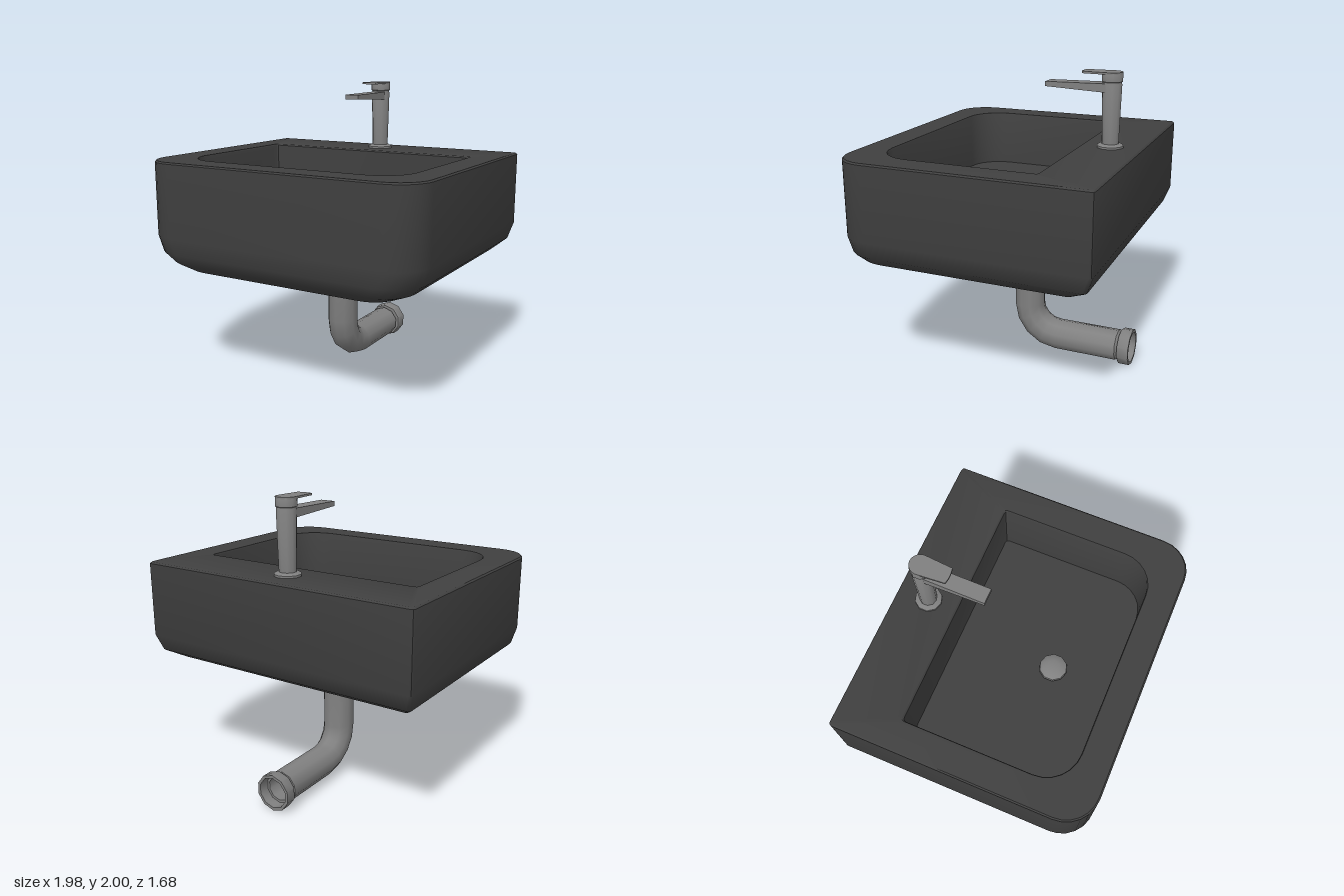
import * as THREE from 'three';
import { toCreasedNormals } from 'three/addons/utils/BufferGeometryUtils.js';

const SIDES = 10;
const CREASE = 0.76;

// Skin a stack of closed rings (counter-clockwise about the direction of travel).
function loft(rings, capStart, capEnd) {
  const n = rings[0].length;
  const pos = [], index = [];
  rings.forEach(ring => ring.forEach(p => pos.push(p.x, p.y, p.z)));
  for (let r = 0; r < rings.length - 1; r++) {
    for (let i = 0; i < n; i++) {
      const j = (i + 1) % n;
      const a = r * n + i, b = r * n + j, c = a + n, d = b + n;
      index.push(a, b, d, a, d, c);
    }
  }
  const cap = (r, flip) => {
    const mid = new THREE.Vector3();
    rings[r].forEach(p => mid.addScaledVector(p, 1 / n));
    const m = pos.length / 3;
    pos.push(mid.x, mid.y, mid.z);
    for (let i = 0; i < n; i++) {
      const a = r * n + i, b = r * n + (i + 1) % n;
      if (flip) index.push(m, b, a); else index.push(m, a, b);
    }
  };
  if (capStart) cap(0, true);
  if (capEnd) cap(rings.length - 1, false);
  const g = new THREE.BufferGeometry();
  g.setAttribute('position', new THREE.Float32BufferAttribute(pos, 3));
  g.setIndex(index);
  return toCreasedNormals(g, CREASE);
}

// Horizontal outline: round front corners, nearly square back corners.
function outline(y, halfX, back, front, radius, chamfer = 0.02) {
  const pts = [];
  const corner = (cx, cz, r, start, steps) => {
    for (let i = 0; i <= steps; i++) {
      const a = start + (i / steps) * Math.PI / 2;
      pts.push(new THREE.Vector3(cx + r * Math.cos(a), y, cz - r * Math.sin(a)));
    }
  };
  const q = Math.PI / 2;
  corner(halfX - chamfer, back + chamfer, chamfer, 0, 2);
  corner(-halfX + chamfer, back + chamfer, chamfer, q, 2);
  corner(-halfX + radius, front - radius, radius, 2 * q, 6);
  corner(halfX - radius, front - radius, radius, 3 * q, 6);
  return pts;
}

// Pipe cross-section; angle 0 runs down, a quarter turn runs to the back.
function pipeRing(y, z, angle, r) {
  const pts = [];
  for (let i = 0; i < SIDES; i++) {
    const t = (i / SIDES) * Math.PI * 2;
    const u = r * Math.cos(t);
    pts.push(new THREE.Vector3(r * Math.sin(t), y + u * Math.sin(angle), z - u * Math.cos(angle)));
  }
  return pts;
}

function lathe(points) {
  const profile = points.map(p => new THREE.Vector2(p[0], p[1]));
  return toCreasedNormals(new THREE.LatheGeometry(profile, SIDES), CREASE);
}

export function createModel() {
  const model = new THREE.Group();
  const ceramic = new THREE.MeshStandardMaterial({ color: 0x404040 });
  const metal = new THREE.MeshStandardMaterial({ color: 0x808080 });
  const add = (name, geometry, material, parent = model) => {
    const mesh = new THREE.Mesh(geometry, material);
    mesh.name = name;
    parent.add(mesh);
    return mesh;
  };

  // Basin: rounded underside, straight walls, rim and sunken bowl
  add('basin', loft([
    outline(0.79, 0.77, -0.50, 0.73, 0.18),
    outline(0.84, 0.88, -0.68, 0.79, 0.20),
    outline(0.91, 0.96, -0.80, 0.825, 0.22),
    outline(1.02, 0.99, -0.84, 0.84, 0.22),
    outline(1.51, 0.99, -0.84, 0.84, 0.22),
    outline(1.52, 0.98, -0.83, 0.83, 0.21),
    outline(1.52, 0.795, -0.445, 0.645, 0.23),
    outline(1.51, 0.79, -0.435, 0.64, 0.225),
    outline(1.13, 0.785, -0.43, 0.635, 0.22),
  ], true, true), ceramic);

  // Domed drain cover
  const drain = add('drainCover', lathe([
    [0.07, 1.13], [0.07, 1.155], [0.095, 1.16], [0.092, 1.178], [0.07, 1.193], [0.04, 1.2], [0, 1.203],
  ]), metal);
  drain.position.z = 0.245;

  // Waste pipe with a swept elbow
  const waste = new THREE.Group();
  waste.name = 'wastePipe';
  model.add(waste);
  const Q = Math.PI / 2, R = 0.215, pz = -0.085, py = 0.127;
  add('pipeFlange', loft([
    pipeRing(0.80, pz, 0, 0.128), pipeRing(0.738, pz, 0, 0.128),
    pipeRing(0.722, pz, 0, 0.112), pipeRing(0.722, pz, 0, 0.09),
  ], true, false), metal, waste);
  const path = [pipeRing(0.76, pz, 0, 0.107)];
  for (let i = 0; i <= 4; i++) {
    const a = (i / 4) * Q;
    path.push(pipeRing(py + R - R * Math.sin(a), pz - R + R * Math.cos(a), a, 0.107));
  }
  path.push(pipeRing(py, -0.74, Q, 0.107), pipeRing(py, -0.757, Q, 0.09), pipeRing(py, -0.77, Q, 0.09));
  add('pipe', loft(path, false, false), metal, waste);
  add('pipeCollar', loft([
    pipeRing(py, -0.76, Q, 0.085), pipeRing(py, -0.76, Q, 0.118), pipeRing(py, -0.768, Q, 0.125),
    pipeRing(py, -0.84, Q, 0.125), pipeRing(py, -0.84, Q, 0.105),
    pipeRing(py, -0.77, Q, 0.102), pipeRing(py, -0.77, Q, 0.085), pipeRing(py, -0.45, Q, 0.085),
  ], false, true), metal, waste);

  // Faucet
  const faucet = new THREE.Group();
  faucet.name = 'faucet';
  faucet.position.z = -0.63;
  model.add(faucet);
  add('faucetBase', lathe([[0.088, 1.52], [0.088, 1.533], [0.066, 1.545], [0, 1.548]]), metal, faucet);
  add('faucetBody', lathe([
    [0.056, 1.54], [0.065, 1.925], [0.062, 1.932], [0.062, 1.938],
    [0.069, 1.942], [0.069, 1.99], [0.064, 2.0], [0, 2.0],
  ]), metal, faucet);

  // Spout: box tapering towards its tip
  const spout = new THREE.BoxGeometry(1, 1, 1);
  const p = spout.attributes.position;
  for (let i = 0; i < p.count; i++) {
    const tip = p.getZ(i) > 0, top = p.getY(i) > 0;
    p.setXYZ(i, Math.sign(p.getX(i)) * 0.051,
      top ? (tip ? 1.923 : 1.93) : (tip ? 1.892 : 1.873),
      tip ? 0.43 : 0);
  }
  spout.computeVertexNormals();
  add('spout', spout, metal, faucet);

  // Lever: thin plate, round over the body and narrowing forward
  const lever = new THREE.Shape();
  lever.moveTo(0.053, -0.185);
  lever.lineTo(0.067, 0);
  lever.absarc(0, 0, 0.067, 0, Math.PI, false);
  lever.lineTo(-0.053, -0.185);
  lever.quadraticCurveTo(0, -0.2, 0.053, -0.185);
  const plate = new THREE.ExtrudeGeometry(lever, { depth: 0.013, bevelEnabled: false, curveSegments: 6 });
  plate.rotateX(-Q).translate(0, 1.988, 0);
  add('lever', toCreasedNormals(plate, CREASE), metal, faucet);

  return model;
}
